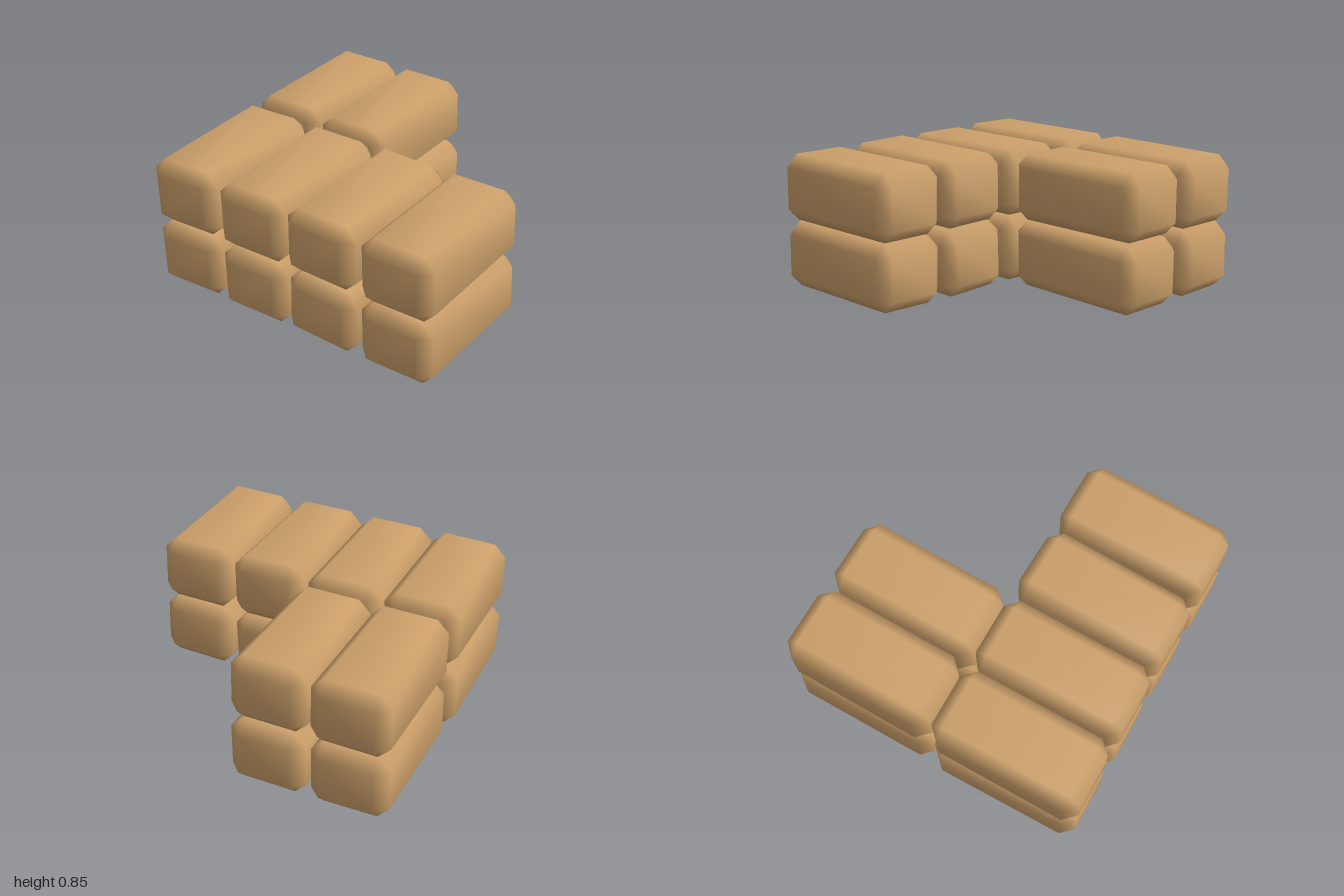
import * as THREE from 'three';

// Box with single-facet bevels: three vertices per corner, shared so the shading is smooth
function bevelledBlock(w, h, d, bevel) {
  const half = [w / 2, h / 2, d / 2];
  const signs = [-1, 1];
  const verts = [];
  const index = [];
  // the vertex of a corner that lies on the face across the given axis
  const id = (s, axis) => ((s[0] > 0 ? 4 : 0) + (s[1] > 0 ? 2 : 0) + (s[2] > 0 ? 1 : 0)) * 3 + axis;
  for (const x of signs) for (const y of signs) for (const z of signs) {
    for (let axis = 0; axis < 3; axis++) {
      [x, y, z].forEach((s, i) => verts.push(s * (half[i] - (i === axis ? 0 : bevel))));
    }
  }
  const at = (i) => new THREE.Vector3().fromArray(verts, i * 3);
  // adds a triangle, turned to face away from the centre
  const tri = (a, b, c) => {
    const A = at(a), B = at(b), C = at(c);
    const n = B.clone().sub(A).cross(C.clone().sub(A));
    if (n.dot(A.add(B).add(C)) > 0) index.push(a, b, c);
    else index.push(a, c, b);
  };
  const quad = (a, b, c, e) => { tri(a, b, c); tri(a, c, e); };

  for (let axis = 0; axis < 3; axis++) {
    const u = (axis + 1) % 3, v = (axis + 2) % 3;
    const corner = (a, b, c) => {
      const s = [0, 0, 0];
      s[axis] = a; s[u] = b; s[v] = c;
      return s;
    };
    // two large faces
    for (const s of signs) {
      quad(...[[-1, -1], [1, -1], [1, 1], [-1, 1]].map(([b, c]) => id(corner(s, b, c), axis)));
    }
    // four bevels running along this axis
    for (const b of signs) for (const c of signs) {
      const p = corner(-1, b, c), q = corner(1, b, c);
      quad(id(p, u), id(q, u), id(q, v), id(p, v));
    }
  }
  // corner triangles
  for (let k = 0; k < 8; k++) tri(k * 3, k * 3 + 1, k * 3 + 2);

  const g = new THREE.BufferGeometry();
  g.setAttribute('position', new THREE.Float32BufferAttribute(verts, 3));
  g.setIndex(index);
  g.computeVertexNormals();
  return g;
}

export function createModel() {
  const group = new THREE.Group();
  group.name = 'brickStack';
  const clay = new THREE.MeshStandardMaterial({ color: 0xcca06a });
  clay.name = 'tanClay';
  const geometry = bevelledBlock(0.477, 0.41, 0.962, 0.075);

  // each brick: x, y, z, pitch, yaw, roll; an L of four in front and two behind
  const layers = {
    lower: [
      [-0.738, 0.215, 0.485, 0, 0.025, 0.02],
      [-0.243, 0.217, 0.485, 0.005, 0.008, 0.008],
      [0.25, 0.22, 0.485, 0, -0.01, -0.035],
      [0.754, 0.222, 0.488, 0.005, -0.01, 0.02],
      [-0.735, 0.215, -0.49, 0.005, 0.01, -0.01],
      [-0.24, 0.214, -0.487, -0.012, -0.015, -0.01],
    ],
    upper: [
      [-0.738, 0.638, 0.487, 0, 0.012, 0.025],
      [-0.243, 0.637, 0.485, 0, 0.008, 0.008],
      [0.25, 0.642, 0.485, 0, -0.015, -0.015],
      [0.753, 0.641, 0.488, 0.004, 0, 0.012],
      [-0.737, 0.637, -0.494, -0.005, 0, 0.01],
      [-0.245, 0.637, -0.487, 0.004, -0.004, 0.005],
    ],
  };
  for (const [layer, bricks] of Object.entries(layers)) {
    bricks.forEach(([x, y, z, pitch, yaw, roll], i) => {
      const brick = new THREE.Mesh(geometry, clay);
      brick.name = `${layer}Brick${i + 1}`;
      brick.position.set(x, y, z);
      brick.rotation.set(pitch, yaw, roll);
      group.add(brick);
    });
  }
  return group;
}
